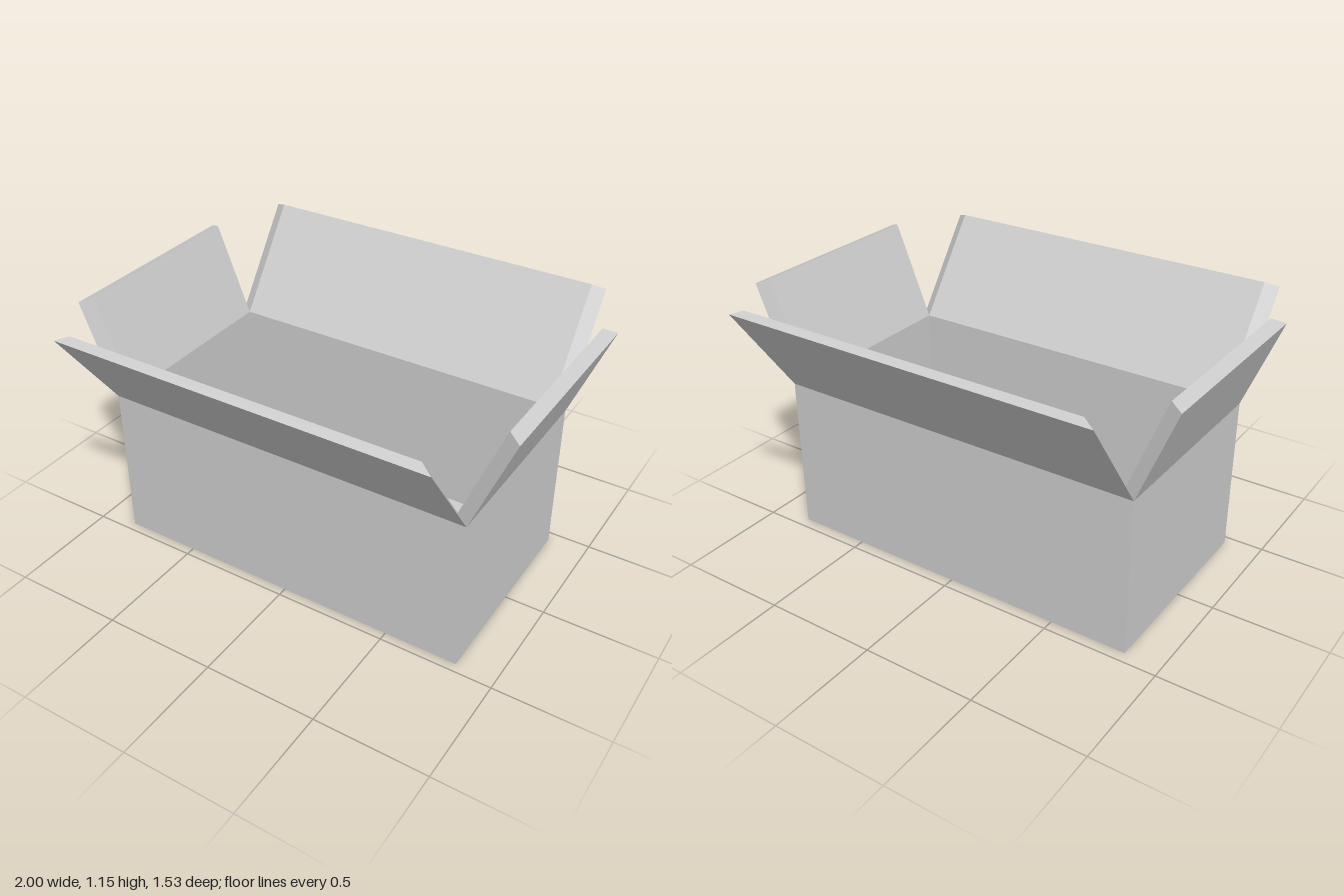
import * as THREE from 'three';

const V = (x, y, z) => new THREE.Vector3(x, y, z);

// Four corners, counter-clockwise from above, starting at front and -x
const ring = (x0, x1, z0, z1, y) => [V(x0, y, z1), V(x1, y, z1), V(x1, y, z0), V(x0, y, z0)];

// Flat-faced mesh from triangles and quads
function faceMesh(name, faces, material) {
  const points = [];
  for (const f of faces) {
    for (let i = 1; i < f.length - 1; i++) points.push(f[0], f[i], f[i + 1]);
  }
  const geometry = new THREE.BufferGeometry().setFromPoints(points);
  geometry.computeVertexNormals();
  const mesh = new THREE.Mesh(geometry, material);
  mesh.name = name;
  return mesh;
}

// Quads joining one ring to the next
const band = (a, b) => a.map((p, i) => [p, a[(i + 1) % 4], b[(i + 1) % 4], b[i]]);

export function createModel() {
  const group = new THREE.Group();
  group.name = 'openBox';
  const grey = new THREE.MeshStandardMaterial({ color: 0xcccccc });
  grey.name = 'light grey';

  const base = ring(-0.84, 0.825, -0.45, 0.46, 0);
  const outerRim = ring(-0.84, 0.825, -0.45, 0.46, 0.7);
  const innerRim = ring(-0.785, 0.77, -0.42, 0.425, 0.72);
  const floorEdge = ring(-0.785, 0.77, -0.42, 0.425, 0.05);
  const floorCentre = V(-0.007, 0.025, 0.002);

  // Hollow body: underside, outer walls, rim and inner walls
  group.add(faceMesh('body', [
    [...base].reverse(),
    ...band(base, outerRim),
    ...band(outerRim, innerRim),
    ...band(innerRim, floorEdge),
  ], grey));

  // Floor, dipping slightly to the middle
  group.add(faceMesh('floor', floorEdge.map((p, i) => [p, floorEdge[(i + 1) % 4], floorCentre]), grey));

  // Flaps leaning outward from each side of the rim, with mitred ends
  const flaps = [
    ['frontFlap', V(0, 0.42, 0.307)],
    ['leftFlap', V(0.172, 0.425, 0)],
    ['backFlap', V(0, 0.435, -0.312)],
    ['rightFlap', V(-0.16, 0.405, 0)],
  ];
  flaps.forEach(([name, lean], i) => {
    const j = (i + 1) % 4;
    const [o0, o1, n0, n1] = [outerRim[i], outerRim[j], innerRim[i], innerRim[j]];
    const [ot0, ot1, nt0, nt1] = [o0, o1, n0, n1].map((p) => p.clone().add(lean));
    group.add(faceMesh(name, [
      [o0, o1, ot1, ot0],   // outside
      [ot0, ot1, nt1, nt0], // top edge
      [nt0, nt1, n1, n0],   // inside
      [o1, n1, nt1, ot1],   // ends
      [n0, o0, ot0, nt0],
    ], grey));
  });

  return group;
}
